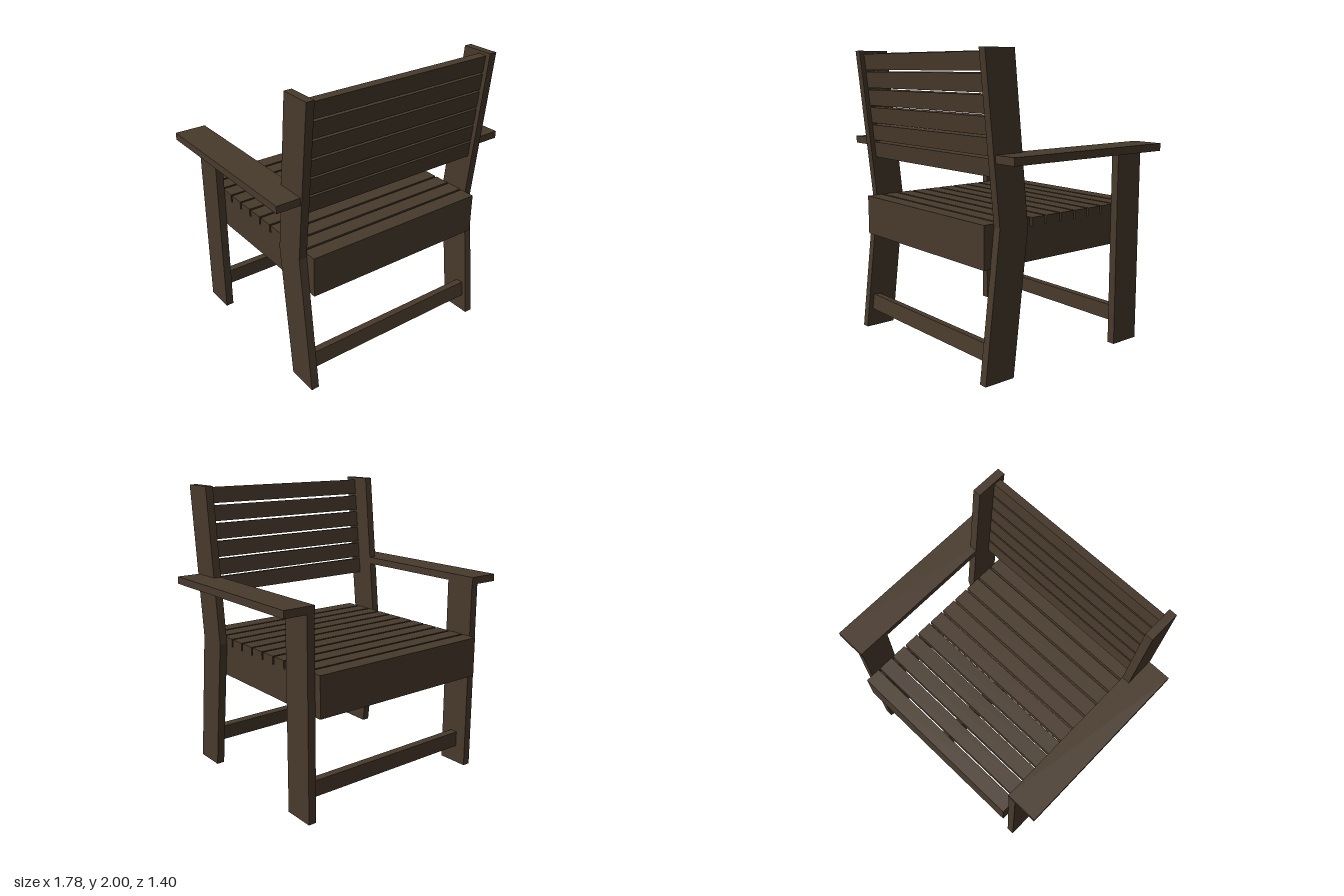
import * as THREE from 'three';

export function createModel() {
  const chair = new THREE.Group();
  chair.name = 'slattedArmchair';
  const wood = new THREE.MeshStandardMaterial({ color: 0x483a2c });
  wood.name = 'darkBrownWood';
  const board = 0.055;   // plank thickness
  const inner = 0.67;    // inner face of the posts

  // Box given by its min and max corners
  function plank(name, x0, x1, y0, y1, z0, z1) {
    const mesh = new THREE.Mesh(new THREE.BoxGeometry(x1 - x0, y1 - y0, z1 - z0), wood);
    mesh.position.set((x0 + x1) / 2, (y0 + y1) / 2, (z0 + z1) / 2);
    mesh.name = name;
    chair.add(mesh);
    return mesh;
  }

  // Cross plank between the posts, tilted about x
  function tiltedPlank(name, y, z, height, tilt) {
    const mesh = plank(name, -inner, inner, y - height / 2, y + height / 2, z - board / 2, z + board / 2);
    mesh.rotation.x = tilt;
  }

  // Bent rear post profile, drawn as (-z, y) and turned to run along x
  const profile = new THREE.Shape([
    [0.70, 0], [0.48, 0], [0.37, 0.93], [0.48, 2], [0.70, 2], [0.59, 0.95],
  ].map(([z, y]) => new THREE.Vector2(-z, y)));
  const postGeometry = new THREE.ExtrudeGeometry(profile, { depth: board, bevelEnabled: false });
  postGeometry.rotateY(Math.PI / 2);

  // Sides: posts, armrests and seat rails
  for (const [side, s] of [['left', 1], ['right', -1]]) {
    const span = (a, b) => (s > 0 ? [a, b] : [-b, -a]);
    const rearPost = new THREE.Mesh(postGeometry, wood);
    rearPost.name = side + 'RearPost';
    rearPost.position.x = span(inner, inner + board)[0];
    chair.add(rearPost);
    plank(side + 'FrontPost', ...span(inner, inner + board), 0, 1.34, -0.65, -0.43);
    plank(side + 'Armrest', ...span(inner, 0.89), 1.34, 1.39, -0.655, 0.622);
    plank(side + 'SeatRail', ...span(inner - board, inner), 0.70, 0.92, -0.645, 0.61);
  }

  // Seat frame
  plank('frontApron', -inner, inner, 0.70, 0.92, -0.70, -0.645);
  plank('rearApron', -inner, inner, 0.70, 0.92, 0.61, 0.665);
  plank('centreRail', -board / 2, board / 2, 0.70, 0.92, -0.645, 0.61);

  // Seat slats
  const slatWidth = 0.1105;
  for (let i = 0; i < 11; i++) {
    const z = -0.70 + i * (slatWidth + 0.015);
    plank('seatSlat' + (i + 1), -inner, inner, 0.92, 0.975, z, z + slatWidth);
  }

  // Backrest slats follow the lean of the rear posts
  for (let i = 0; i < 6; i++) {
    const y = 1.308 + i * 0.1235;
    tiltedPlank('backSlat' + (i + 1), y, 0.53 + 0.105 * (y - 0.95), 0.11, 0.105);
  }

  // Stretchers between the legs
  tiltedPlank('rearStretcher', 0.18, 0.618, 0.11, -0.116);
  tiltedPlank('frontStretcher', 0.18, -0.54, 0.11, 0);

  return chair;
}
